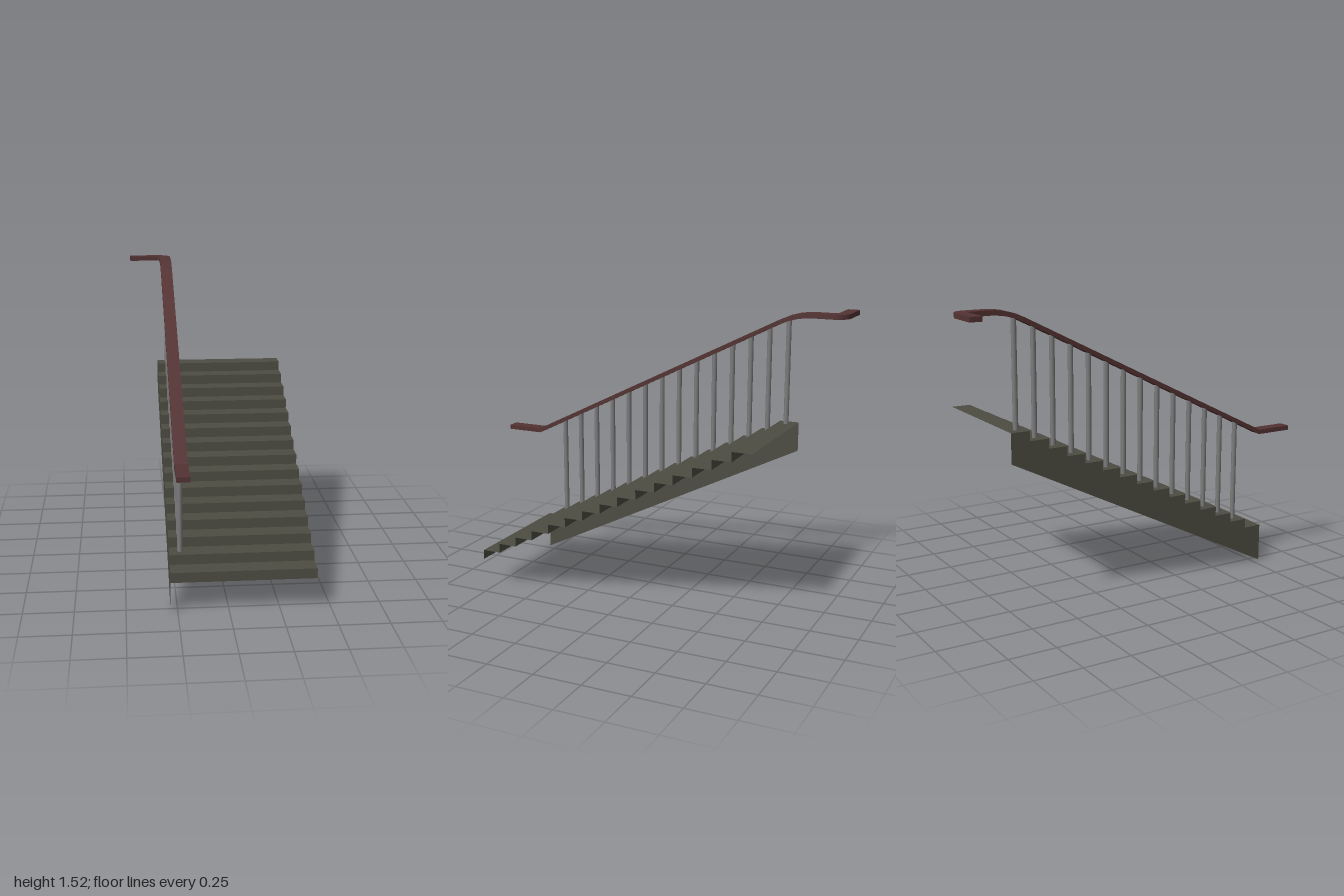
import * as THREE from 'three';
import { toCreasedNormals } from 'three/addons/utils/BufferGeometryUtils.js';

const STEPS = 15, FRONT = 0.798, RUN = 0.1024, RISE = 0.0513, BASE = 0.155;
const LEFT = 0.43, RIGHT = -0.285, RAIL_X = -0.229;

// rail height along the flight: [z, y]
const railLine = [[1, 0.74], [0.797, 0.74], [-0.64, 1.461], [-0.69, 1.483],
  [-0.74, 1.497], [-0.79, 1.504], [-0.82, 1.505], [-0.925, 1.505]];

function railHeight(z) {
  for (let i = 1; i < railLine.length; i++) {
    const [z0, y0] = railLine[i - 1], [z1, y1] = railLine[i];
    if (z >= z1) return y0 + (y1 - y0) * (z - z0) / (z1 - z0);
  }
  return 1.505;
}

function buffer(positions, index) {
  const geo = new THREE.BufferGeometry();
  geo.setAttribute('position', new THREE.Float32BufferAttribute(positions, 3));
  geo.setIndex(index);
  return geo;
}

// rectangular section swept along a path, kept level from side to side
function sweep(path, halfWidth, halfHeight) {
  const pos = [], idx = [];
  path.forEach((p, i) => {
    const flat = (a, b) => new THREE.Vector3(b.x - a.x, 0, b.z - a.z).normalize();
    const before = flat(path[Math.max(i - 1, 0)], path[Math.max(i, 1)]);
    const last = path.length - 1;
    const t = before.add(flat(path[Math.min(i, last - 1)], path[Math.min(i + 1, last)])).normalize();
    for (const [s, u] of [[1, 1], [-1, 1], [-1, -1], [1, -1]]) {
      pos.push(p.x - t.z * s * halfWidth, p.y + u * halfHeight, p.z + t.x * s * halfWidth);
    }
    if (i === last) return;
    for (let k = 0; k < 4; k++) {
      const a = i * 4 + k, b = i * 4 + (k + 1) % 4;
      idx.push(a, a + 4, b + 4, a, b + 4, b);
    }
  });
  const e = (path.length - 1) * 4;
  idx.push(0, 1, 2, 0, 2, 3, e, e + 2, e + 1, e, e + 3, e + 2);
  return toCreasedNormals(buffer(pos, idx), 0.4);
}

export function createModel() {
  const stone = new THREE.MeshStandardMaterial({ color: 0x4e4d43, side: THREE.DoubleSide });
  stone.name = 'stair grey';
  const wood = new THREE.MeshStandardMaterial({ color: 0x543333 });
  wood.name = 'rail brown';
  const metal = new THREE.MeshStandardMaterial({ color: 0x7c7c7c });
  metal.name = 'baluster grey';

  const group = new THREE.Group();
  group.name = 'staircase';
  const add = (name, geo, mat) => {
    const mesh = new THREE.Mesh(geo, mat);
    mesh.name = name;
    group.add(mesh);
    return mesh;
  };

  // zigzag profile of risers and treads: [z, y]
  const profile = [[FRONT, BASE]];
  for (let i = 0; i < STEPS; i++) {
    const y = BASE + (i + 1) * RISE;
    profile.push([FRONT - i * RUN, y], [FRONT - (i + 1) * RUN, y]);
  }

  // thin folded sheet of steps
  const pos = [], idx = [];
  profile.forEach(([z, y], i) => {
    pos.push(RIGHT, y, z, LEFT, y, z);
    if (i) {
      const a = 2 * i - 2;
      idx.push(a, a + 1, a + 3, a, a + 3, a + 2);
    }
  });
  add('steps', toCreasedNormals(buffer(pos, idx), 0.4), stone);

  // side panel under the rail, with a sloping lower edge
  const [backZ, backY] = profile[profile.length - 1];
  const outline = [[FRONT, 0], [backZ, backY - BASE], ...profile.slice(1).reverse()];
  const panel = new THREE.ShapeGeometry(
    new THREE.Shape(outline.map(([z, y]) => new THREE.Vector2(-z, y))));
  panel.rotateY(Math.PI / 2).translate(RIGHT, 0, 0);
  add('sidePanel', panel, stone);

  // one baluster on every step but the lowest
  for (let i = 1; i < STEPS; i++) {
    const z = FRONT - (i + 0.5) * RUN + 0.001;
    const bottom = BASE + (i + 1) * RISE, top = railHeight(z);
    const baluster = add('baluster', new THREE.CylinderGeometry(0.0135, 0.0135, top - bottom, 12), metal);
    baluster.position.set(-0.23, (top + bottom) / 2, z);
  }

  // handrail with a rounded turn at the top
  const path = railLine.map(([z, y]) => new THREE.Vector3(RAIL_X, y, z));
  for (let i = 1; i <= 8; i++) {
    const a = i / 8 * Math.PI / 2;
    path.push(new THREE.Vector3(-0.272 + 0.043 * Math.cos(a), 1.505, -0.925 - 0.043 * Math.sin(a)));
  }
  path.push(new THREE.Vector3(-0.433, 1.505, -0.968));
  add('handrail', sweep(path, 0.032, 0.0125), wood);

  return group;
}
